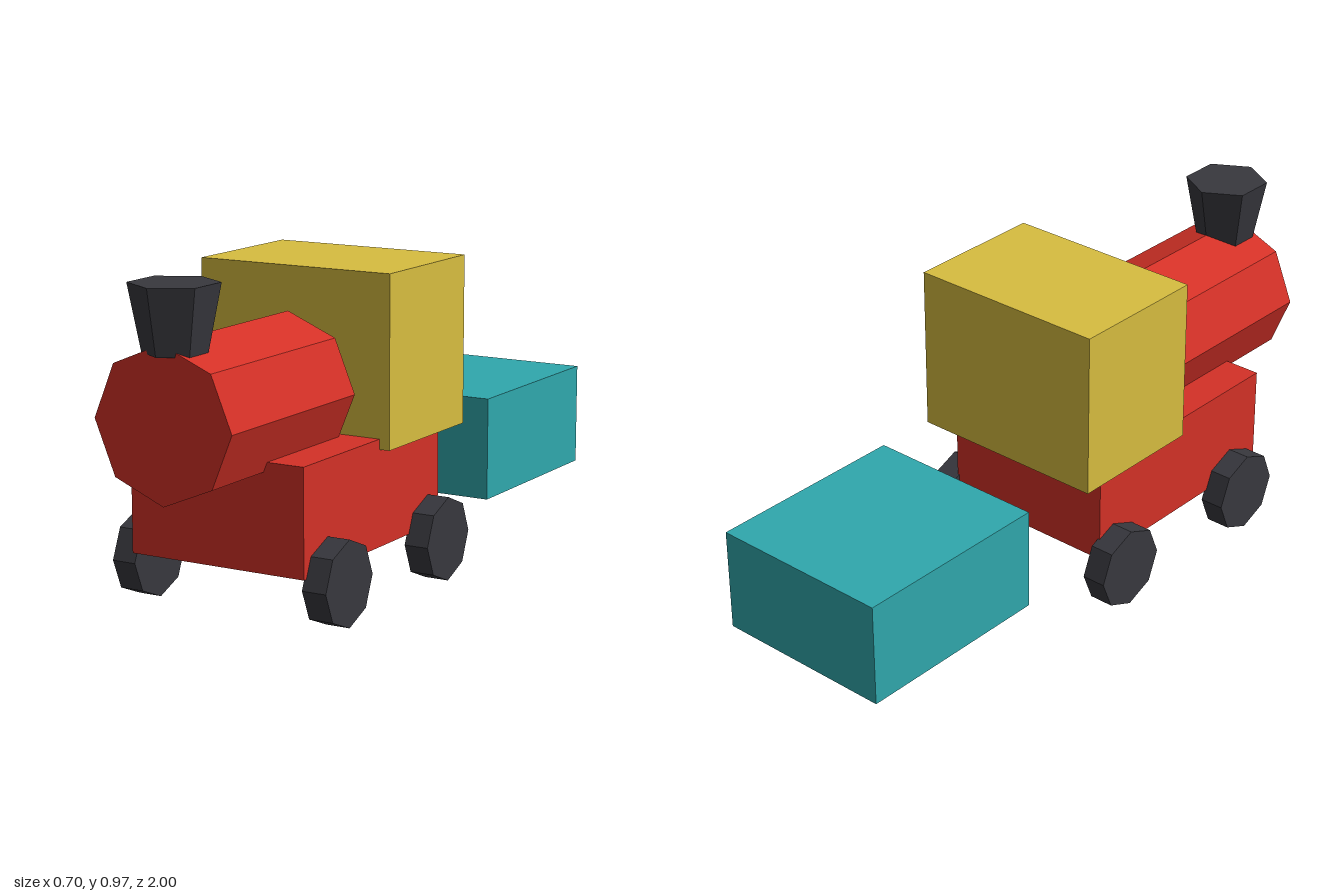
import * as THREE from 'three';

const mat = (name, color) => {
  const m = new THREE.MeshStandardMaterial({ color, flatShading: true });
  m.name = name;
  return m;
};

export function createModel() {
  const red = mat('red', 0xd43127);
  const yellow = mat('yellow', 0xd8be40);
  const teal = mat('teal', 0x30a8ad);
  const charcoal = mat('charcoal', 0x38383e);

  const group = new THREE.Group();
  group.name = 'toyTrain';

  const add = (name, geometry, material, x, y, z) => {
    const mesh = new THREE.Mesh(geometry, material);
    mesh.name = name;
    mesh.position.set(x, y, z);
    group.add(mesh);
  };

  // Engine body
  add('chassis', new THREE.BoxGeometry(0.5625, 0.3125, 0.75), red, 0, 0.3125, 0.314);
  add('cab', new THREE.BoxGeometry(0.625, 0.5, 0.4375), yellow, 0, 0.6885, 0.0635);

  // Octagonal boiler lying along z, with a corner on top
  const boiler = new THREE.CylinderGeometry(0.21875, 0.21875, 0.625, 8).rotateX(Math.PI / 2);
  add('boiler', boiler, red, 0, 0.595, 0.626);

  // Flared six-sided chimney
  add('chimney', new THREE.CylinderGeometry(0.125, 0.0885, 0.1875, 6), charcoal, 0, 0.876, 0.875);

  // Trailing wagon
  add('wagon', new THREE.BoxGeometry(0.5625, 0.3125, 0.625), teal, 0, 0.3125, -0.6875);

  // Four octagonal wheels
  const wheel = new THREE.CylinderGeometry(0.125, 0.125, 0.075, 8).rotateZ(Math.PI / 2);
  for (const [end, z] of [['front', 0.564], ['rear', 0]]) {
    for (const [side, s] of [['Left', 1], ['Right', -1]]) {
      add(`${end}${side}Wheel`, wheel, charcoal, s * 0.3125, 0.126, z);
    }
  }

  return group;
}
